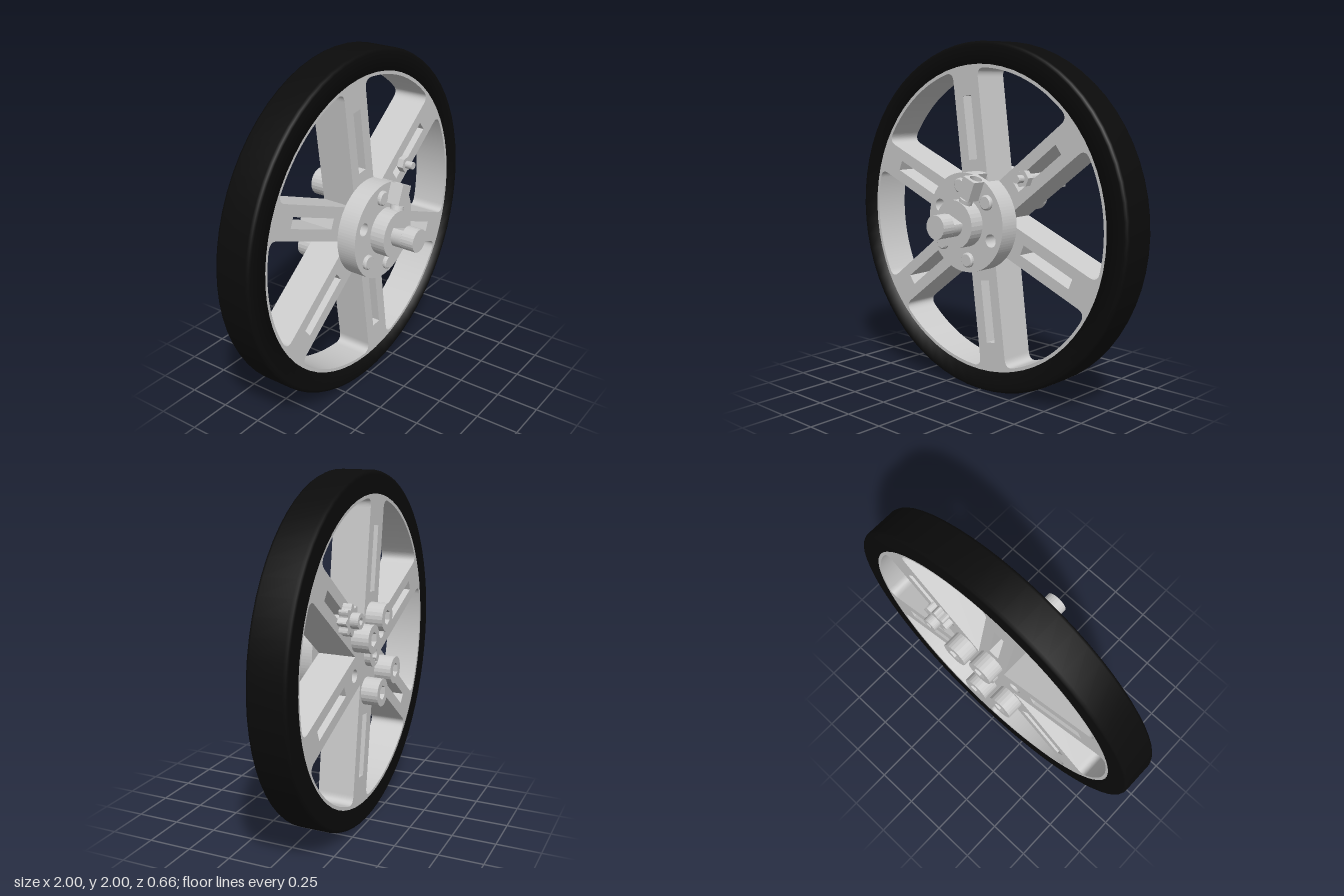
import * as THREE from 'three';

const rad = THREE.MathUtils.degToRad;
const grey = new THREE.MeshStandardMaterial({ color: 0xcccccc, flatShading: true });
const rubber = new THREE.MeshStandardMaterial({ color: 0x0b0b0b });
const BACK = -0.235, FRONT = -0.015;   // wheel faces
const TILT = 7.5;                      // rotation of the spoke pattern
const KEY = 67.5;                      // direction of set screw, flat and key slit

const polar = (r, deg) => new THREE.Vector2(r * Math.cos(rad(deg)), r * Math.sin(rad(deg)));
const turned = (x, y, deg) => new THREE.Vector2(x, y).rotateAround(new THREE.Vector2(), rad(deg));

// Shape helpers
function circle(r, c = new THREE.Vector2()) {
  return new THREE.Shape().absarc(c.x, c.y, r, 0, Math.PI * 2, false);
}
function polygon(r, n, start = 0) {
  return new THREE.Shape(Array.from({ length: n }, (_, i) => polar(r, start + i * 360 / n)));
}
function rect(x0, x1, halfW, deg) {
  return new THREE.Shape([[x0, -halfW], [x1, -halfW], [x1, halfW], [x0, halfW]]
    .map(([x, y]) => turned(x, y, deg)));
}

// Plate from z0 to z1 with optional holes
function plate(name, shape, z0, z1, holes = [], curveSegments = 12) {
  shape.holes.push(...holes);
  const geo = new THREE.ExtrudeGeometry(shape, { depth: z1 - z0, bevelEnabled: false, curveSegments });
  geo.translate(0, 0, z0);
  const mesh = new THREE.Mesh(geo, grey);
  mesh.name = name;
  return mesh;
}

// Cylinder or cone section along z
function rod(name, r0, r1, z0, z1, n = 24) {
  const geo = new THREE.CylinderGeometry(r1, r0, z1 - z0, n).rotateX(Math.PI / 2);
  geo.translate(0, 0, (z0 + z1) / 2);
  const mesh = new THREE.Mesh(geo, grey);
  mesh.name = name;
  return mesh;
}

function group(name, ...children) {
  const g = new THREE.Group();
  g.name = name;
  if (children.length) g.add(...children);
  return g;
}

// Opening between two spokes, rounded where it meets the rim
function windowHole(deg) {
  const half = 0.095, R = 0.855;
  const corner = 30 - THREE.MathUtils.radToDeg(Math.asin(half / R));
  const arcEnd = corner - 3.6;
  const edge = (t, s) => turned(t * Math.cos(rad(30)) + half * 0.5,
    s * (t * 0.5 - half * Math.cos(rad(30))), deg);
  const apex = turned(half * 2, 0, deg);
  const [a, b] = [edge(0.795, -1), edge(0.795, 1)];
  const [ca, cb] = [polar(R, deg - corner), polar(R, deg + corner)];
  const pa = polar(R, deg - arcEnd);
  const p = new THREE.Path().moveTo(apex.x, apex.y);
  p.lineTo(a.x, a.y).quadraticCurveTo(ca.x, ca.y, pa.x, pa.y);
  p.absarc(0, 0, R, rad(deg - arcEnd), rad(deg + arcEnd), false);
  p.quadraticCurveTo(cb.x, cb.y, b.x, b.y).lineTo(apex.x, apex.y);
  return p;
}

function makeTyre() {
  const ri = 0.875, c = 0.02;
  const pts = [[ri, BACK], [1 - c, BACK], [1 - 0.3 * c, BACK + 0.3 * c], [1, BACK + c],
    [1, FRONT - c], [1 - 0.3 * c, FRONT - 0.3 * c], [1 - c, FRONT], [ri, FRONT], [ri, BACK]];
  const geo = new THREE.LatheGeometry(pts.map(([x, y]) => new THREE.Vector2(x, y)), 64);
  const mesh = new THREE.Mesh(geo.rotateX(Math.PI / 2), rubber);
  mesh.name = 'tyre';
  return mesh;
}

function makeWheel() {
  const holes = [];
  for (let i = 0; i < 6; i++) {
    holes.push(windowHole(60 + i * 60 + TILT), rect(0.345, 0.705, 0.031, 30 + i * 60 + TILT));
  }
  for (const a of [157.5, 337.5]) holes.push(circle(0.037, polar(0.21, a)));
  return plate('spokedWheel', circle(0.878), BACK + 0.003, FRONT - 0.003, holes, 32);
}

// Hub flange with a cross-drilled block, boss and shaft
function makeHub() {
  const R = 0.28, z0 = -0.018, z1 = 0.098, open = 9, inner = 0.16;
  const halfW = R * Math.sin(rad(open)), outer = R * Math.cos(rad(open));
  const disc = new THREE.Shape();
  disc.absarc(0, 0, R, rad(KEY + open), rad(KEY - open + 360), false);
  for (const s of [-1, 1]) {
    const p = turned(inner, s * halfW, KEY);
    disc.lineTo(p.x, p.y);
  }
  const holes = [157.5, 337.5].map(a => circle(0.037, polar(0.21, a)));
  const flange = plate('hubFlange', disc, z0, z1, holes, 48);

  // Block filling the notch, drilled radially
  const face = new THREE.Shape([[-halfW, z0], [halfW, z0], [halfW, z1], [-halfW, z1]]
    .map(([x, y]) => new THREE.Vector2(x, y)));
  const block = plate('drilledBlock', face, inner, outer, [circle(0.034, new THREE.Vector2(0, 0.04))]);
  block.geometry.rotateX(Math.PI / 2).scale(1, 1, 1);
  // extrusion axis now points to -y; flip it to +y while keeping z forward
  block.geometry.rotateZ(Math.PI).scale(1, 1, 1);
  block.geometry.translate(0, 0, z0 + z1);
  block.rotation.z = rad(KEY - 90);

  const boss = rod('hubBoss', 0.135, 0.135, z1, 0.187, 36);

  // Shaft with a flat close to the boss
  const a = THREE.MathUtils.radToDeg(Math.acos(0.036 / 0.067));
  const dShape = new THREE.Shape().absarc(0, 0, 0.067, rad(KEY + a), rad(KEY - a + 360), false);
  const shaft = group('shaft', plate('shaftFlat', dShape, 0.187, 0.25, [], 24),
    plate('shaftEnd', circle(0.067), 0.25, 0.33));

  // Radial set screw, built along z and turned outward
  const screw = group('setScrew',
    plate('setScrewHead', circle(0.038), 0.1, 0.155, [polygon(0.02, 6)]),
    rod('setScrewCore', 0.03, 0.03, 0.1, 0.14));
  screw.rotation.x = -Math.PI / 2;
  const mount = group('setScrewMount', screw);
  mount.position.z = 0.145;
  mount.rotation.z = rad(KEY - 90);

  // Rear collar with bore and key slit
  const b = 14, bore = new THREE.Path();
  bore.absarc(0, 0, 0.034, rad(KEY + 180 + b), rad(KEY + 540 - b), false);
  for (const s of [-1, 1]) {
    const p = turned(0.056, s * 0.008, KEY + 180);
    bore.lineTo(p.x, p.y);
  }
  const collar = plate('rearCollar', circle(0.07), -0.27, BACK, [bore]);
  return group('hub', flange, block, boss, shaft, mount, collar);
}

// Socket-head bolt clamping the wheel to the hub
function makeBolt(deg) {
  const bolt = group('hubBolt',
    plate('boltHead', circle(0.078), -0.33, -0.275, [polygon(0.042, 6, 30)]),
    rod('boltHeadBase', 0.078, 0.078, -0.275, BACK + 0.004),
    rod('boltShank', 0.042, 0.042, BACK, 0.111),
    rod('boltTip', 0.042, 0.034, 0.111, 0.118));
  const p = polar(0.21, deg);
  bolt.position.set(p.x, p.y, 0);
  return bolt;
}

// Small screw with lobed knob and nut, held in one spoke slot
function makeSlotScrew() {
  const lobes = Array.from({ length: 64 }, (_, i) => {
    const a = i * 360 / 64;
    return polar(0.075 + 0.012 * Math.cos(rad(a * 8)), a);
  });
  const g = group('slotScrew',
    plate('lobedKnob', new THREE.Shape(lobes), -0.283, BACK + 0.003),
    plate('screwHead', circle(0.042), -0.33, -0.283, [polygon(0.022, 6)]),
    rod('screwHeadBase', 0.04, 0.04, -0.3, -0.283),
    rod('screwShank', 0.022, 0.022, BACK, 0.065, 16),
    plate('hexNut', polygon(0.048, 6, 7.5), -0.018, 0.02));
  const p = polar(0.434, 37.5);
  g.position.set(p.x, p.y, 0);
  return g;
}

export function createModel() {
  const wheel = group('wheelAssembly', makeTyre(), makeWheel(), makeHub(), makeSlotScrew());
  for (const a of [37.5, 97.5, 217.5, 277.5]) wheel.add(makeBolt(a));
  wheel.position.y = 1;
  return group('model', wheel);
}
